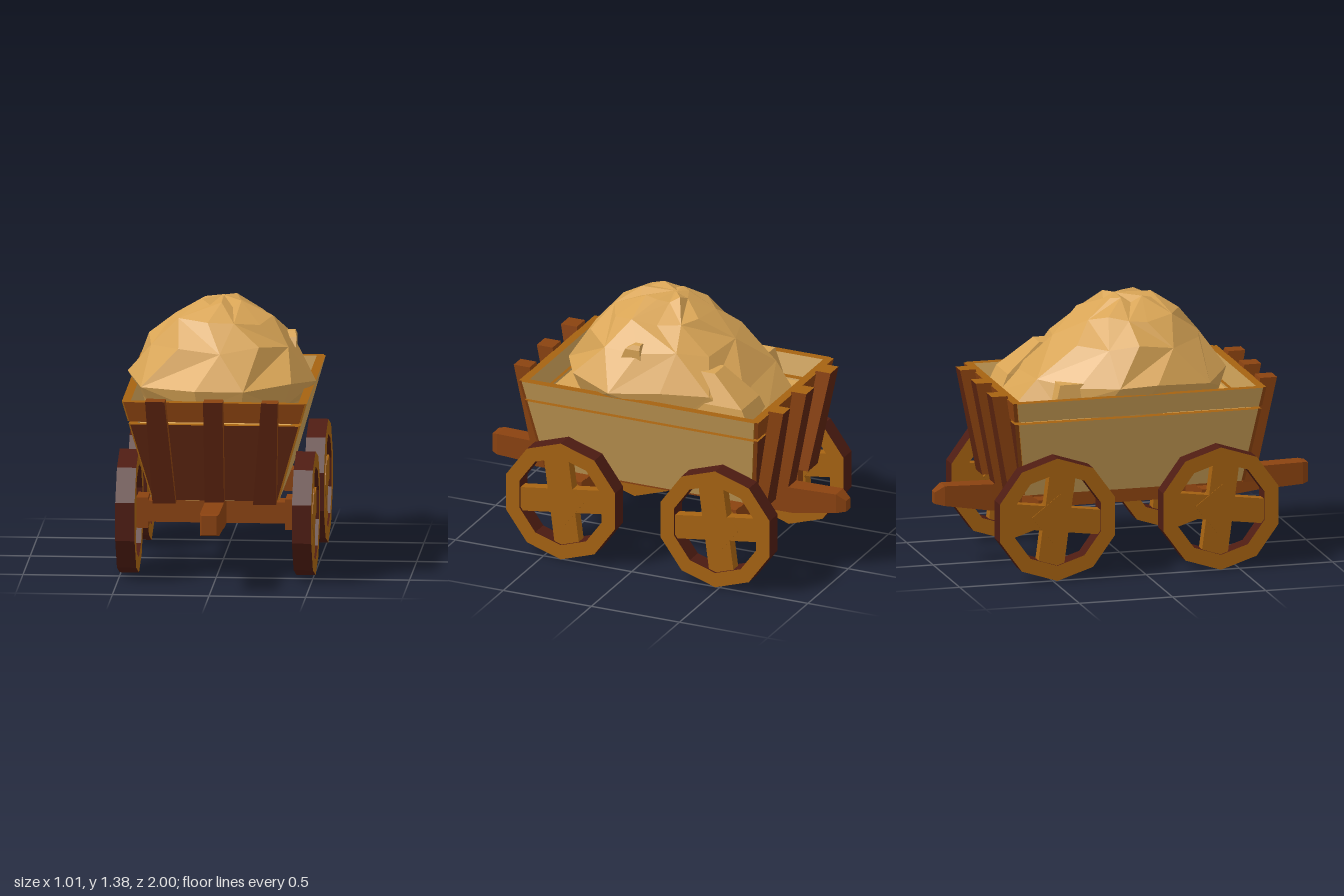
import * as THREE from 'three';

const mat = (name, color) => new THREE.MeshStandardMaterial({ name, color });

// Loft through closed loops (counter-clockwise from above, going up), flat facets.
// Groups: one per side, then bottom, then top.
function loft(loops) {
  const pos = [], n = loops[0].length, g = new THREE.BufferGeometry();
  const tri = (...p) => p.forEach((v) => pos.push(...v));
  const close = (start, index) => g.addGroup(start, pos.length / 3 - start, index);
  for (let i = 0; i < n; i++) {
    const start = pos.length / 3, j = (i + 1) % n;
    for (let k = 0; k < loops.length - 1; k++) {
      const lo = loops[k], hi = loops[k + 1];
      if ((i + k) % 2) {
        tri(lo[i], lo[j], hi[j]);
        tri(lo[i], hi[j], hi[i]);
      } else {
        tri(lo[i], lo[j], hi[i]);
        tri(lo[j], hi[j], hi[i]);
      }
    }
    close(start, i);
  }
  const first = loops[0], last = loops[loops.length - 1];
  let start = pos.length / 3;
  for (let i = 1; i < n - 1; i++) tri(first[0], first[i + 1], first[i]);
  close(start, n);
  start = pos.length / 3;
  for (let i = 1; i < n - 1; i++) tri(last[0], last[i], last[i + 1]);
  close(start, n + 1);
  g.setAttribute('position', new THREE.Float32BufferAttribute(pos, 3));
  g.computeVertexNormals();
  return g;
}

const rect = (y, x1, x2, z1, z2) => [[x1, y, z2], [x2, y, z2], [x2, y, z1], [x1, y, z1]];

export function createModel() {
  const model = new THREE.Group();
  const hay = mat('hay', 0xd8a455);
  const board = mat('paleBoard', 0xcb9f57);
  const ochre = mat('ochreWood', 0xa56211);
  const brown = mat('brownWood', 0x8a4210);
  const dark = mat('darkWood', 0x5c240f);
  const rimDark = mat('darkRim', 0x4e1c12);

  const add = (name, geo, material, parent = model) => {
    const m = new THREE.Mesh(geo, material);
    m.name = name;
    parent.add(m);
    return m;
  };
  const box = (name, material, w, h, d, x, y, z, parent) => {
    const m = add(name, new THREE.BoxGeometry(w, h, d), material, parent);
    m.position.set(x, y, z);
    return m;
  };

  // Flared bed: outline grows with height
  const t = (y) => (y - 0.42) / 0.53;
  const halfW = (y) => 0.33 + 0.15 * t(y);
  const front = (y) => 0.58 + 0.075 * t(y);
  const back = (y) => -0.62 - 0.085 * t(y);
  for (const [y0, y1, label, end] of [[0.42, 0.825, 'lower', dark], [0.84, 0.945, 'upper', brown]]) {
    const ys = [y0, y1], th = 0.045;
    add(label + 'LeftBoard', loft(ys.map((y) => rect(y, halfW(y) - th, halfW(y), back(y) + 0.02, front(y) - 0.02))),
      [ochre, board, ochre, board, board, ochre]);
    add(label + 'RightBoard', loft(ys.map((y) => rect(y, -halfW(y), -halfW(y) + th, back(y) + 0.02, front(y) - 0.02))),
      [ochre, board, ochre, board, board, ochre]);
    add(label + 'FrontBoard', loft(ys.map((y) => rect(y, -halfW(y) + 0.01, halfW(y) - 0.01, front(y) - th, front(y)))),
      [end, brown, board, brown, dark, ochre]);
    add(label + 'BackBoard', loft(ys.map((y) => rect(y, -halfW(y) + 0.01, halfW(y) - 0.01, back(y), back(y) + th))),
      [board, brown, end, brown, dark, ochre]);
  }
  box('bedFloor', board, 0.62, 0.03, 1.16, 0, 0.43, -0.02);

  // Leaning posts on both ends
  const posts = [[-0.32, -0.2, -0.35, -0.25], [-0.05, 0.05, -0.05, 0.05], [0.2, 0.32, 0.25, 0.335]];
  for (const [a, b, c, d] of posts) {
    add('frontPost', loft([rect(0.41, a, b, 0.57, 0.63), rect(0.965, c, d, 0.655, 0.745)]),
      [dark, brown, brown, brown, dark, brown]);
    add('backPost', loft([rect(0.41, a, b, -0.68, -0.61), rect(0.96, c, d, -0.785, -0.7)]),
      [brown, brown, dark, brown, dark, ochre]);
  }

  // Long central beam with tapered ends
  const beam = loft([[-1, 0.025, 0.33, 0.39], [-0.95, 0.045, 0.32, 0.425], [-0.7, 0.05, 0.28, 0.42],
    [0.6, 0.05, 0.28, 0.42], [0.72, 0.05, 0.295, 0.42], [0.97, 0.05, 0.31, 0.425], [1, 0.04, 0.32, 0.42]]
    .map(([z, w, y0, y1]) => [[-w, y0, z], [w, y0, z], [w, y1, z], [-w, y1, z]]));
  add('centralBeam', beam, [brown, brown, brown, brown, brown, brown]);

  // Wheels: faceted rim, crossed spokes and a hub
  const R = 0.325;
  const ring = (r, turn) => Array.from({ length: 10 }, (_, i) => {
    const a = -Math.PI / 2 + turn + (i * Math.PI) / 5;
    return new THREE.Vector2(r * Math.cos(a), r * Math.sin(a));
  });
  const rimShape = new THREE.Shape(ring(R, 0));
  rimShape.holes.push(new THREE.Path(ring(0.245, 0)));
  const rimGeo = new THREE.ExtrudeGeometry(rimShape, { depth: 0.1, bevelEnabled: false });
  rimGeo.translate(0, 0, -0.05);
  for (const z of [0.4, -0.477]) {
    box('axle', brown, 0.8, 0.11, 0.12, 0, 0.335, z);
    box('axleBolster', brown, 0.5, 0.06, 0.12, 0, 0.4, z);
    for (const s of [-1, 1]) {
      box('axleEnd', brown, 0.06, 0.16, 0.15, s * 0.385, 0.33, z);
      const wheel = new THREE.Group();
      wheel.name = 'wheel';
      add('rim', rimGeo, [ochre, rimDark], wheel);
      const cross = new THREE.Group();
      cross.name = 'spokes';
      cross.rotation.z = s * 0.13;
      box('spoke', ochre, 0.14, 0.52, 0.06, 0, 0, 0.01, cross);
      box('spoke', ochre, 0.52, 0.13, 0.056, 0, 0, 0.01, cross);
      box('hub', ochre, 0.19, 0.19, 0.076, 0, 0, 0.005, cross).rotation.z = Math.PI / 4;
      wheel.add(cross);
      wheel.position.set(s * 0.457, R, z);
      wheel.rotation.y = (s * Math.PI) / 2;
      model.add(wheel);
    }
  }

  // Hay heap: plan outline scaled through rising rings, every other ring turned half a step
  const plan = [[-0.11, 0.55], [0.14, 0.53], [0.38, 0.38], [0.49, 0.1], [0.43, -0.2], [0.36, -0.48],
    [0.2, -0.62], [-0.2, -0.62], [-0.36, -0.42], [-0.46, -0.2], [-0.49, 0.02], [-0.4, 0.36]];
  const rings = [[0.7, 0.76, -0.6, 0.45], [0.86, 0.87, -0.62, 0.51], [0.985, 1, -0.5, 0.54],
    [1.17, 0.81, -0.36, 0.43], [1.29, 0.54, -0.2, 0.3], [1.368, 0.23, -0.09, 0.17]];
  const heap = rings.map(([y, sx, z0, z1], k) => plan.map(([x, z], i) => {
    const [nx, nz] = plan[(i + 1) % plan.length];
    const h = k > 2 ? (k - 2) * 0.5 : 0;
    const px = x + (nx - x) * (h % 1), pz = z + (nz - z) * (h % 1);
    const wobble = 0.016 * Math.sin(i * 2.4 + k * 1.7);
    return [px * sx, y + wobble, z0 + ((pz + 0.62) / 1.17) * (z1 - z0)];
  }));
  heap.push(plan.map(([x, z]) => [x * 0.02, 1.385, -0.02 + z * 0.02]));
  add('hayHeap', loft(heap), Array(14).fill(hay));

  // Loose hay filling the bed, and tufts on the heap
  add('hayFill', loft([rect(0.46, -0.29, 0.29, -0.58, 0.53), rect(0.82, -0.39, 0.39, -0.64, 0.585)]), Array(6).fill(hay));
  add('hayTuft', loft([rect(1.08, 0.28, 0.38, 0.0, 0.14), rect(1.19, 0.3, 0.385, 0.01, 0.09),
    rect(1.215, 0.34, 0.375, 0.01, 0.05)]), Array(6).fill(hay));
  add('hayLump', loft([rect(0.8, 0.12, 0.37, -0.63, -0.2), rect(0.95, 0.14, 0.36, -0.56, -0.2),
    rect(1.1, 0.18, 0.3, -0.38, -0.2)]), Array(6).fill(hay));
  add('hayLump', loft([rect(0.85, -0.38, -0.24, -0.46, -0.25), rect(1.0, -0.36, -0.24, -0.42, -0.25)]), Array(6).fill(hay));
  return model;
}
